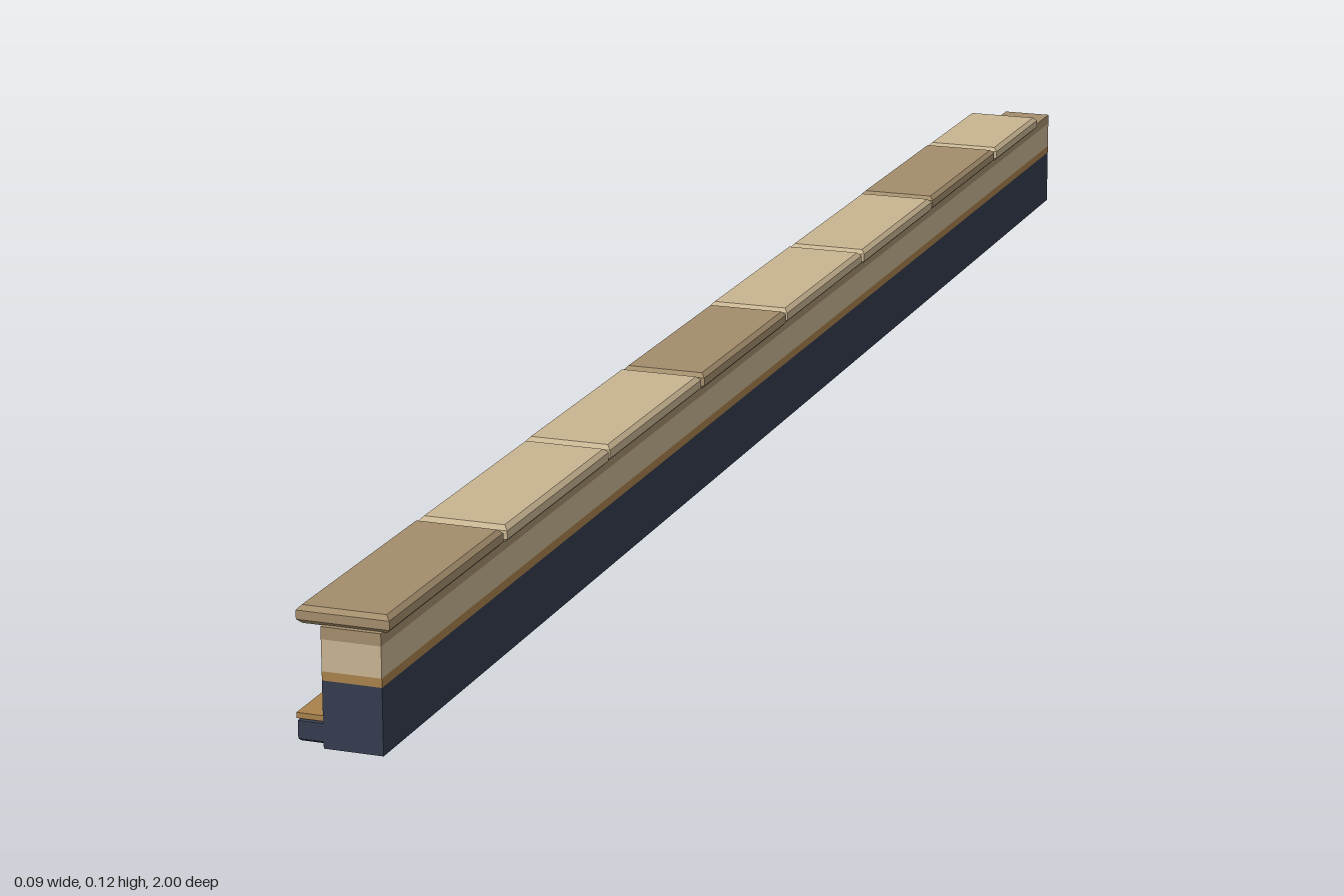
import * as THREE from 'three';

const material = (name, color) => {
  const m = new THREE.MeshStandardMaterial({ color });
  m.name = name;
  return m;
};

// Block given by its limits on each axis
function block(name, mat, [x0, x1], [y0, y1], [z0, z1]) {
  const mesh = new THREE.Mesh(new THREE.BoxGeometry(x1 - x0, y1 - y0, z1 - z0), mat);
  mesh.name = name;
  mesh.position.set((x0 + x1) / 2, (y0 + y1) / 2, (z0 + z1) / 2);
  return mesh;
}

// Slab with chamfered edges all round
function slab(name, mat, [x0, x1], [y0, y1], [z0, z1], bevel) {
  const w = (x1 - x0) / 2 - bevel, d = (z1 - z0) / 2 - bevel;
  const shape = new THREE.Shape([
    new THREE.Vector2(-w, -d), new THREE.Vector2(w, -d),
    new THREE.Vector2(w, d), new THREE.Vector2(-w, d),
  ]);
  const depth = y1 - y0 - 2 * bevel;
  const geo = new THREE.ExtrudeGeometry(shape, {
    depth, bevelThickness: bevel, bevelSize: bevel, bevelSegments: 1,
  });
  geo.translate(0, 0, -depth / 2).rotateX(-Math.PI / 2);
  const mesh = new THREE.Mesh(geo, mat);
  mesh.name = name;
  mesh.position.set((x0 + x1) / 2, (y0 + y1) / 2, (z0 + z1) / 2);
  return mesh;
}

export function createModel() {
  const navy = material('navy', 0x343c4f);
  const ochre = material('ochre', 0xa9824c);
  const sand = material('sand', 0xc8b491);
  const darkSand = material('dark sand', 0xa38d6c);

  const group = new THREE.Group();
  group.name = 'parapetWall';
  const length = [-1, 1], wall = [-0.02, 0.034];

  // Wall in horizontal courses
  group.add(
    block('wallBase', navy, wall, [0, 0.06], length),
    block('wallTrim', ochre, wall, [0.06, 0.068], length),
    block('wallUpper', sand, wall, [0.068, 0.096], length),
    block('wallTopCourse', darkSand, wall, [0.096, 0.107], length),
  );

  // Low ledge along the right side
  group.add(
    slab('ledge', navy, [-0.043, -0.018], [0.004, 0.024], length, 0.002),
    block('ledgeTrim', ochre, [-0.044, -0.02], [0.024, 0.029], length),
  );

  // Coping stones, every third one darker, the last one cut short
  const pitch = 0.2495, stone = 0.243;
  for (let i = 0; i < 8; i++) {
    const front = 0.998 - i * pitch;
    const back = Math.max(front - stone, -0.92);
    const shift = i % 2 ? 0.001 : 0;
    group.add(slab('copingStone' + (i + 1), i % 3 ? sand : darkSand,
      [-0.043 + shift, 0.041 + shift], [0.106, 0.122], [back, front], 0.004));
  }
  return group;
}
